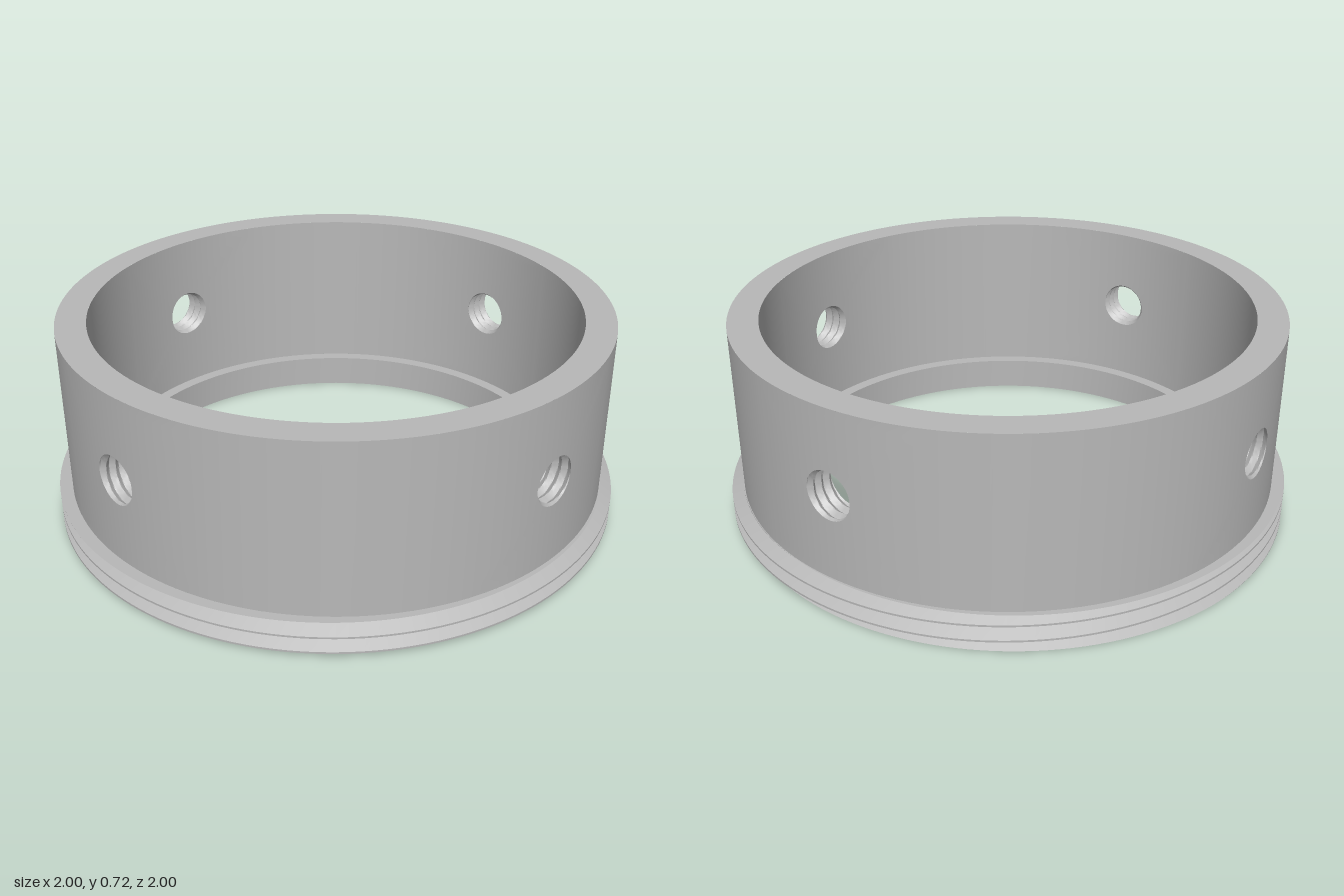
import * as THREE from 'three';
import { mergeGeometries, toCreasedNormals } from 'three/addons/utils/BufferGeometryUtils.js';

const TAU = Math.PI * 2;
const OUTER = 0.955, INNER = 0.85, LIP = 0.805;   // radii
const LEDGE = 0.12, TOP = 0.72;                   // heights
const HOLE_Y = (LEDGE + TOP) / 2, HALF = (TOP - LEDGE) / 2;
const SEG = 160;
const clamp = THREE.MathUtils.clamp;
const lerp = THREE.MathUtils.lerp;
const frac = t => t - Math.floor(t);

// Grid surface from a rule; its front side is du x dv
function surface(rule, nu, nv) {
  const pos = [], index = [];
  for (let j = 0; j <= nv; j++)
    for (let i = 0; i <= nu; i++) pos.push(...rule(i / nu, j / nv));
  for (let j = 0; j < nv; j++)
    for (let i = 0; i < nu; i++) {
      const a = j * (nu + 1) + i, b = a + 1, c = b + nu + 1, d = a + nu + 1;
      index.push(a, b, c, a, c, d);
    }
  const g = new THREE.BufferGeometry();
  g.setAttribute('position', new THREE.Float32BufferAttribute(pos, 3));
  g.setIndex(index);
  return g;
}

const polar = (r, y, t) => [r * Math.cos(t), y, -r * Math.sin(t)];

// Point on the cylinder of radius R, offset sideways by s from direction t
function onWall(R, s, y, t) {
  const d = Math.sqrt(R * R - s * s), c = Math.cos(t), n = Math.sin(t);
  return [d * c - s * n, y, -d * n - s * c];
}

// Screw thread inside the side holes
function boreRadius(a, R) {
  const f = frac((R - INNER) / 0.035 - a / TAU);
  return 0.078 + 0.014 * (1 - Math.abs(2 * f - 1));
}

// Outside thread: a helix with narrow flat crests
const PITCH = 0.056, START = 0.027;
function threadRadius(t, y) {
  const f = frac((y - START) / PITCH - t / TAU);
  return 1 - 0.042 * clamp((Math.min(f, 1 - f) - 0.06) / 0.38, 0, 1);
}

// Cylinder wall with four round holes
function piercedWall(R, outward) {
  const parts = [];
  const half = Math.asin(HALF / R);
  for (let k = 0; k < 4; k++) {
    const t = k * Math.PI / 2;
    parts.push(surface((u, v) => {
      const a = u * TAU, c = Math.cos(a), s = Math.sin(a);
      const edge = HALF / Math.max(Math.abs(c), Math.abs(s));
      const r = lerp(boreRadius(a, R), edge, outward ? 1 - v : v);
      return onWall(R, clamp(r * c, -HALF, HALF), HOLE_Y + r * s, t);
    }, 64, 8));
    parts.push(surface((u, v) => polar(R, lerp(LEDGE, TOP, outward ? v : 1 - v),
      t + half + u * (Math.PI / 2 - 2 * half)), 24, 1));
  }
  return mergeGeometries(parts);
}

// Flat ring between two radius rules; it faces up when going inwards
const flatRing = (from, to, y) =>
  surface((u, v) => polar(lerp(from(u * TAU), to(u * TAU), v), y, u * TAU), SEG, 1);

export function createModel() {
  const model = new THREE.Group();
  model.name = 'threadedRing';
  const metal = new THREE.MeshStandardMaterial({ color: 0xb8b8b8 });
  metal.name = 'grey metal';
  const add = (name, geometry, parent = model) => {
    const mesh = new THREE.Mesh(toCreasedNormals(geometry, 0.5), metal);
    mesh.name = name;
    parent.add(mesh);
  };

  // Main sleeve
  add('outerWall', piercedWall(OUTER, true));
  add('innerWall', piercedWall(INNER, false));
  add('topRim', flatRing(() => OUTER, () => INNER, TOP));

  // Inner lip at the foot
  add('innerLedge', flatRing(() => INNER, () => LIP, LEDGE));
  add('innerLip', surface((u, v) => polar(LIP, LEDGE * (1 - v), u * TAU), SEG, 1));

  // Threaded foot: rows follow the crest and root edges of the helix
  const rows = [];
  for (let n = -2; n <= 2; n++)
    for (const k of [-0.44, -0.06, 0.06, 0.44]) rows.push(n + k);
  const last = rows.length - 1;
  add('outerThread', surface((u, v) => {
    const y = clamp(START + PITCH * (u + rows[Math.round(v * last)]), 0, LEDGE);
    return polar(threadRadius(u * TAU, y), y, u * TAU);
  }, SEG, last));
  add('threadTop', flatRing(t => threadRadius(t, LEDGE), () => OUTER, LEDGE));
  add('bottomFace', flatRing(() => LIP, t => threadRadius(t, 0), 0));

  // Four threaded holes through the sleeve
  const bores = new THREE.Group();
  bores.name = 'threadedHoles';
  model.add(bores);
  for (let k = 0; k < 4; k++)
    add('threadedHole' + (k + 1), surface((u, v) => {
      const a = u * TAU, R = lerp(OUTER, INNER, v), r = boreRadius(a, R);
      return onWall(R, r * Math.cos(a), HOLE_Y + r * Math.sin(a), k * Math.PI / 2);
    }, 64, 36), bores);

  return model;
}
